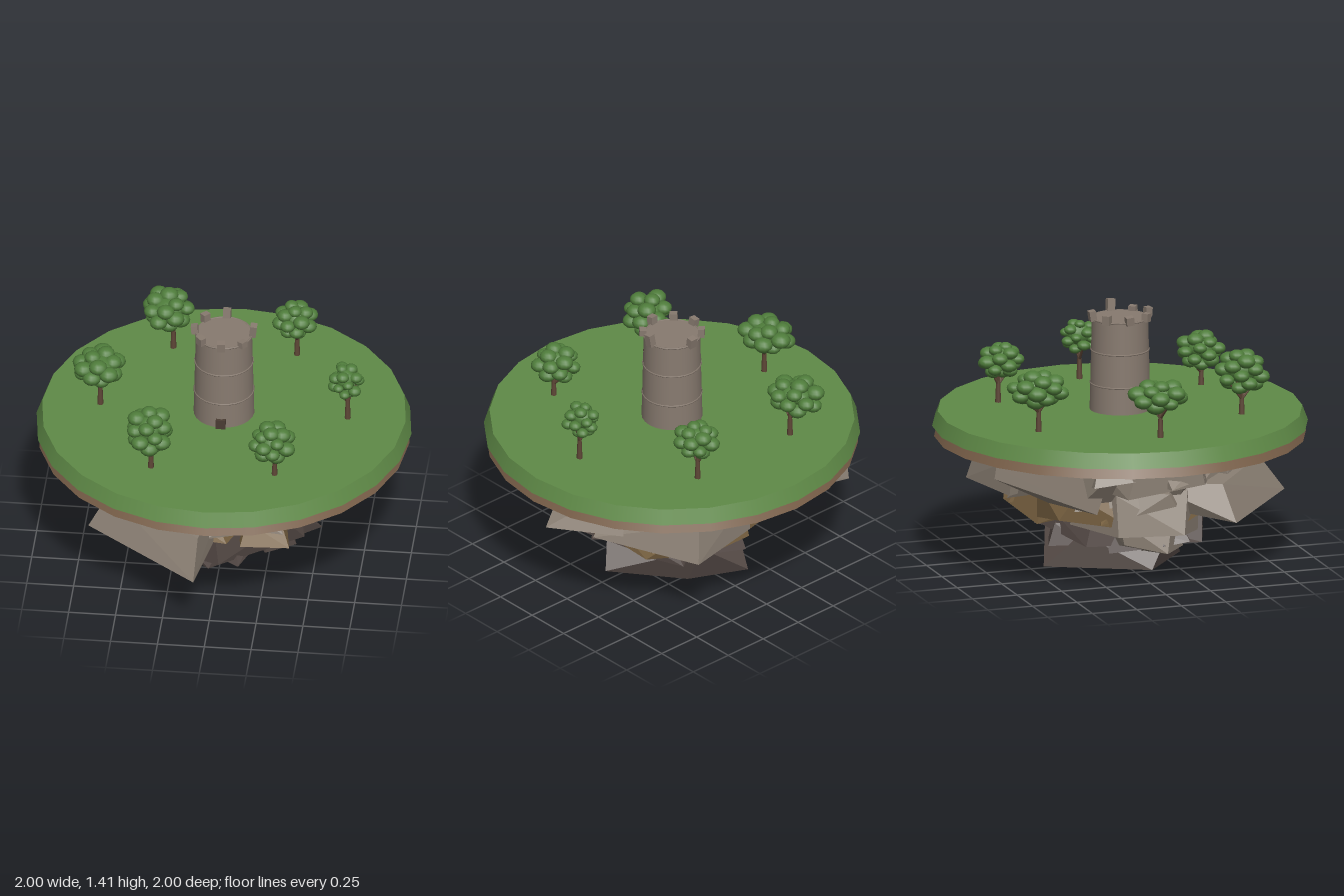
import * as THREE from 'three';
import { ConvexGeometry } from 'three/addons/geometries/ConvexGeometry.js';

const paint = (name, color) => {
  const m = new THREE.MeshStandardMaterial({ color });
  m.name = name;
  return m;
};
const MAT = {
  grass: paint('grass', 0x5f8a47),
  soil: paint('soil', 0x7a6049),
  stone: paint('stone', 0x8a7f73),
  ochre: paint('ochreRock', 0x7a6342),
  dark: paint('darkRock', 0x544945),
  tower: paint('towerStone', 0x877a6f),
  leaf: paint('leaf', 0x4f7d3b),
  bark: paint('bark', 0x5e4636),
  door: paint('doorWood', 0x4a3c33),
};

// Small seeded generator
let seed = 7;
const rand = (a = 0, b = 1) => {
  seed = (seed * 16807) % 2147483647;
  return a + (b - a) * (seed / 2147483647);
};

function add(parent, name, geo, mat, x = 0, y = 0, z = 0) {
  const m = new THREE.Mesh(geo, mat);
  m.name = name;
  m.position.set(x, y, z);
  parent.add(m);
  return m;
}

// Tapered rod from a to b
function rod(parent, name, a, b, ra, rb, mat) {
  const d = b.clone().sub(a);
  const m = add(parent, name, new THREE.CylinderGeometry(rb, ra, d.length(), 7), mat);
  m.position.copy(a).addScaledVector(d, 0.5);
  m.quaternion.setFromUnitVectors(new THREE.Vector3(0, 1, 0), d.normalize());
}

// Faceted rock: a ring of [x, z] at yTop and a ring of [x, z, y?] at yBottom
function rock(parent, name, mat, yTop, top, yBottom, bottom) {
  const pts = [
    ...top.map(([x, z, y = yTop]) => new THREE.Vector3(x, y, z)),
    ...bottom.map(([x, z, y = yBottom]) => new THREE.Vector3(x, y, z)),
  ];
  add(parent, name, new ConvexGeometry(pts), mat);
}

function makeRocks() {
  const g = new THREE.Group();
  g.name = 'rockUnderside';
  // Upper grey tier
  rock(g, 'coreRock', MAT.stone, 0.705,
    [[-0.65, 0.2], [-0.3, 0.5], [0.2, 0.5], [0.5, 0.2], [0.5, -0.3], [0.1, -0.58], [-0.4, -0.52], [-0.65, -0.2]], 0.43,
    [[-0.5, 0.15], [-0.2, 0.4], [0.25, 0.4], [0.5, 0.1], [0.45, -0.4], [0, -0.55], [-0.45, -0.4]]);
  rock(g, 'leftUpperRock', MAT.stone, 0.705,
    [[-0.66, 0.22], [-0.3, 0.35], [-0.25, -0.3], [-0.66, -0.12]], 0.51,
    [[-0.66, 0.25, 0.56], [-0.3, 0.4], [-0.25, -0.3], [-0.66, -0.18]]);
  rock(g, 'frontUpperRock', MAT.stone, 0.705,
    [[-0.38, 0.4], [-0.12, 0.62], [0.2, 0.5], [0.1, 0]], 0.55,
    [[-0.45, 0.45], [-0.1, 0.69], [0.32, 0.55, 0.5], [0.1, 0]]);
  rock(g, 'frontLeftRock', MAT.stone, 0.53,
    [[-0.57, 0.38], [-0.06, 0.76], [0.05, 0.2], [-0.4, 0]], 0.34,
    [[-0.68, 0.42], [-0.07, 0.9], [0.05, 0.25, 0.36], [-0.4, 0.1, 0.38]]);
  rock(g, 'frontRightRock', MAT.stone, 0.6,
    [[0, 0.5], [0.3, 0.5], [0.4, 0.1], [0, 0.1]], 0.42,
    [[-0.03, 0.6], [0.42, 0.48, 0.44], [0.45, 0, 0.4], [0, 0, 0.35]]);
  rock(g, 'rightRock', MAT.stone, 0.705,
    [[0.1, 0.4], [0.52, 0.2], [0.52, -0.2], [0.1, -0.3]], 0.44,
    [[0.2, 0.42], [0.83, 0.08], [0.62, -0.3, 0.47], [0.1, -0.4]]);
  rock(g, 'backRightRock', MAT.stone, 0.61,
    [[0.3, -0.2], [0.55, -0.15], [0.4, -0.66], [0, -0.6]], 0.41,
    [[0.25, -0.2], [0.7, -0.15, 0.43], [0.45, -0.71], [0, -0.62]]);
  rock(g, 'backLeftRock', MAT.stone, 0.705,
    [[-0.48, -0.86], [-0.1, -0.7], [0, -0.3], [-0.5, -0.2]], 0.6,
    [[-0.48, -0.87, 0.64], [-0.05, -0.68], [0, -0.3, 0.4], [-0.5, -0.3, 0.4], [-0.42, -0.55, 0.47]]);
  // Middle tier
  rock(g, 'leftLowerRock', MAT.stone, 0.5,
    [[-0.52, 0.2], [-0.2, 0.3], [-0.2, -0.3], [-0.52, -0.2]], 0.28,
    [[-0.62, 0.15], [-0.25, 0.38, 0.22], [-0.2, -0.35], [-0.56, -0.2]]);
  rock(g, 'leftFootRock', MAT.stone, 0.34,
    [[-0.42, 0.15], [-0.15, 0.25], [-0.15, -0.2], [-0.42, -0.15]], 0.14,
    [[-0.49, 0.1, 0.15], [-0.3, 0.25], [-0.15, -0.15], [-0.42, -0.12, 0.2]]);
  rock(g, 'rightLowerRock', MAT.stone, 0.46,
    [[0.2, 0.25], [0.65, 0.1], [0.55, -0.2], [0.2, -0.2]], 0.34,
    [[0.2, 0.3], [0.69, 0.05, 0.41], [0.55, 0.2], [0.3, -0.2]]);
  rock(g, 'rightOchreRock', MAT.ochre, 0.45,
    [[0, 0.3], [0.45, 0.1], [0.4, -0.5], [-0.1, -0.45]], 0.3,
    [[0.05, 0.36, 0.34], [0.48, 0.15], [0.5, -0.35], [0.25, -0.57, 0.33], [-0.1, -0.5, 0.27]]);
  rock(g, 'leftOchreRock', MAT.ochre, 0.5,
    [[-0.1, -0.5], [-0.45, -0.4], [-0.5, -0.05], [-0.1, 0]], 0.31,
    [[-0.1, -0.5], [-0.4, -0.48, 0.36], [-0.55, -0.1], [-0.1, 0.1]]);
  // Dark tip
  rock(g, 'darkUpperRock', MAT.dark, 0.36,
    [[-0.32, 0.35], [0, 0.47], [0.36, 0.3], [0.35, -0.25], [0, -0.42], [-0.3, -0.25]], 0.18,
    [[-0.38, 0.33, 0.17], [0.02, 0.47, 0.17], [0.45, 0.2, 0.2], [0.4, -0.25, 0.24], [0.05, -0.46, 0.25], [-0.32, -0.3]]);
  rock(g, 'darkTipRock', MAT.dark, 0.22,
    [[-0.28, 0.18], [0.05, 0.28], [0.42, 0.05], [0.12, -0.38], [-0.2, -0.28]], 0.04,
    [[-0.38, 0.05], [-0.05, 0.32], [0.52, -0.05, 0.1], [0.14, -0.28, 0], [-0.12, -0.47]]);
  // Jagged slabs breaking up the sides of each tier
  const tiers = [[MAT.stone, 0.62, 0.5, 9], [MAT.stone, 0.47, 0.44, 7], [MAT.ochre, 0.37, 0.38, 8], [MAT.dark, 0.22, 0.29, 6]];
  for (const [mat, y, r, n] of tiers) {
    for (let i = 0; i < n; i++) {
      const pts = [];
      for (const sx of [-1, 1]) for (const sy of [-1, 1]) for (const sz of [-1, 1]) {
        const w = sy < 0 ? 1.15 : 0.85;
        pts.push(new THREE.Vector3(sx * w * rand(0.1, 0.17), sy * rand(0.03, 0.07), sz * w * rand(0.07, 0.13)));
      }
      const a = ((i + rand(0, 0.5)) / n) * Math.PI * 2;
      const m = add(g, 'jaggedSlab', new ConvexGeometry(pts), mat, Math.cos(a) * r, y, Math.sin(a) * r);
      m.rotation.set(rand(-0.15, 0.15), rand(0, 3), rand(-0.15, 0.15));
    }
  }
  return g;
}

function makeTower() {
  const g = new THREE.Group();
  g.name = 'tower';
  add(g, 'towerWall', new THREE.CylinderGeometry(0.15, 0.162, 0.5, 24), MAT.tower, 0, 1.09, 0);
  for (const [y, r] of [[0.985, 0.158], [1.165, 0.154], [1.338, 0.15]]) {
    add(g, 'stoneBand', new THREE.TorusGeometry(r, 0.005, 6, 24), MAT.tower, 0, y, 0).rotation.x = Math.PI / 2;
  }
  // Ruined battlements, one missing at the back right
  const heights = [0.07, 0.035, 0.05, 0.045, 0.045, 0.05, 0.055];
  heights.forEach((h, i) => {
    const a = (i * Math.PI) / 4;
    const m = add(g, 'merlon', new THREE.BoxGeometry(0.036, h, 0.042), MAT.tower,
      Math.cos(a) * 0.156, 1.332 + h / 2, Math.sin(a) * 0.156);
    m.rotation.set(rand(-0.12, 0.12), -a + rand(-0.15, 0.15), rand(-0.12, 0.12));
  });
  add(g, 'door', new THREE.BoxGeometry(0.052, 0.055, 0.03), MAT.door, 0, 0.866, 0.161);
  return g;
}

// Tree with trunk at (x, z) and a canopy filling the given box
function makeTree(x, z, [x0, x1], [z0, z1], [y0, y1], r, count) {
  const g = new THREE.Group();
  g.name = 'tree';
  const fork = new THREE.Vector3(x, 0.84 + (y0 - 0.84) * 0.75, z);
  rod(g, 'trunk', new THREE.Vector3(x, 0.83, z), fork, 0.017, 0.012, MAT.bark);
  rod(g, 'trunkTop', fork, new THREE.Vector3(x, y0 + 0.1, z), 0.012, 0.006, MAT.bark);
  const cx = (x0 + x1) / 2, cz = (z0 + z1) / 2, cy = y0 + (y1 - y0) * 0.48;
  const rx = (x1 - x0) / 2 - r, rz = (z1 - z0) / 2 - r, ry = (y1 - y0) / 2 - r * 0.75;
  const blob = new THREE.SphereGeometry(r, 12, 8);
  for (let i = 0; i < count; i++) {
    const t = 1 - (2 * (i + 0.5)) / count;
    const a = i * 2.4 + x * 5, s = Math.sqrt(1 - t * t) * rand(0.85, 1.08);
    const p = new THREE.Vector3(cx + Math.cos(a) * s * rx, cy + t * ry, cz + Math.sin(a) * s * rz);
    const k = rand(0.85, 1.1);
    add(g, 'leafClump', blob, MAT.leaf, p.x, p.y, p.z).scale.set(k, k * 0.75, k);
    if (i % 4 === 1) rod(g, 'branch', fork, p, 0.008, 0.004, MAT.bark);
  }
  add(g, 'leafCore', new THREE.SphereGeometry(1, 12, 8), MAT.leaf, cx, cy + 0.015, cz)
    .scale.set(rx * 0.85, ry * 0.8, rz * 0.85);
  return g;
}

export function createModel() {
  const model = new THREE.Group();
  model.name = 'floatingIsland';
  add(model, 'grassDisc', new THREE.CylinderGeometry(0.97, 1, 0.08, 24), MAT.grass, 0, 0.8, 0);
  add(model, 'soilDisc', new THREE.CylinderGeometry(0.965, 0.99, 0.056, 24), MAT.soil, 0, 0.732, 0);
  model.add(makeRocks(), makeTower());
  const trees = [
    [0.66, 0, [0.55, 0.75], [-0.12, 0.11], [0.98, 1.18], 0.033, 18],
    [0.33, 0.57, [0.18, 0.45], [0.42, 0.7], [0.93, 1.15], 0.044, 20],
    [-0.33, 0.57, [-0.48, -0.2], [0.42, 0.72], [0.95, 1.21], 0.047, 20],
    [-0.66, 0, [-0.82, -0.52], [-0.18, 0.15], [0.98, 1.17], 0.05, 18],
    [-0.33, -0.57, [-0.51, -0.2], [-0.75, -0.41], [0.98, 1.19], 0.05, 19],
    [0.33, -0.57, [0.2, 0.45], [-0.69, -0.43], [0.97, 1.18], 0.043, 19],
  ];
  for (const t of trees) model.add(makeTree(...t));
  return model;
}
